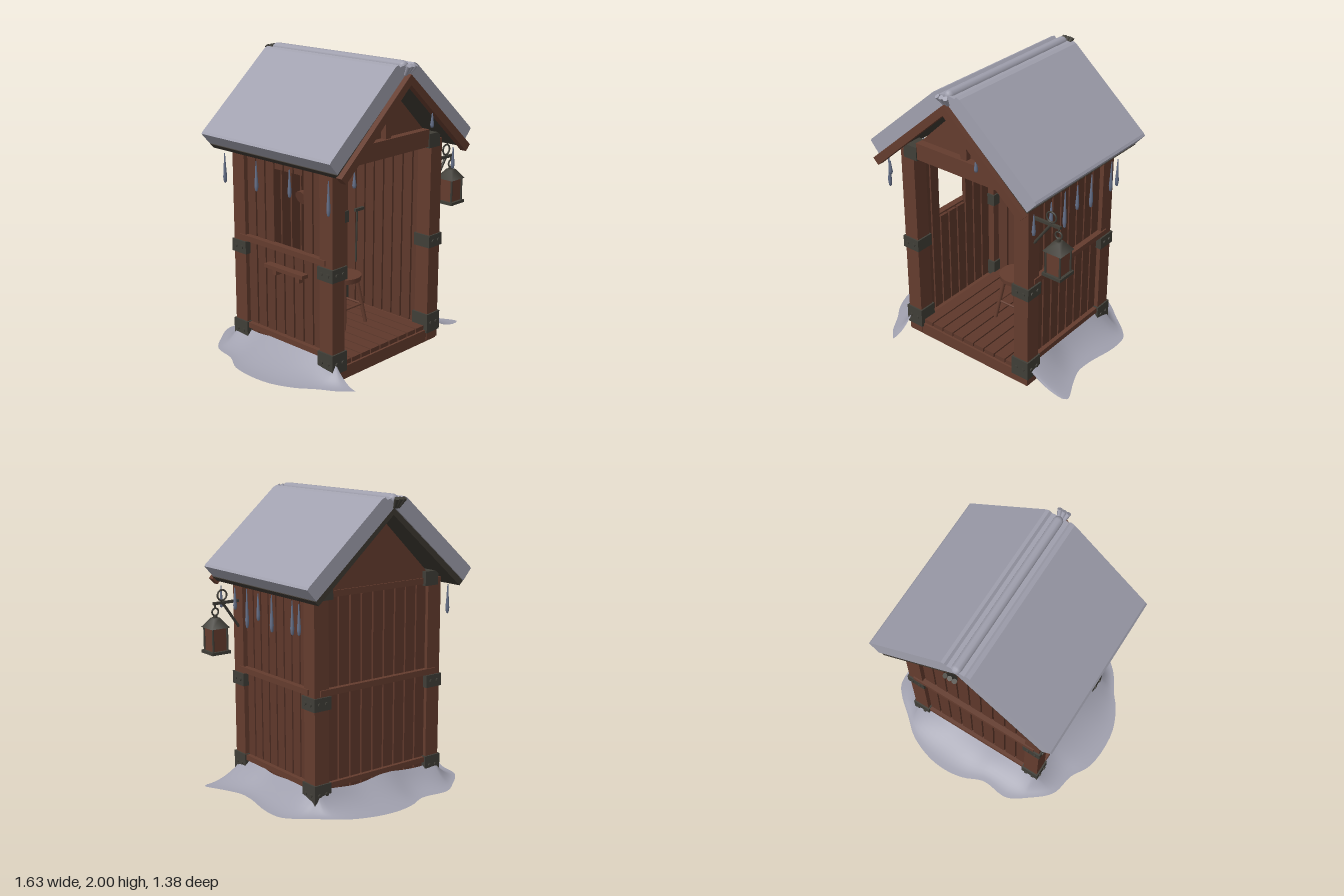
import * as THREE from 'three';

const mat = (name, color, side = THREE.FrontSide) => {
  const m = new THREE.MeshStandardMaterial({ color, side });
  m.name = name;
  return m;
};

export function createModel() {
  const root = new THREE.Group();
  root.name = 'sentryHut';
  const wood = mat('wood', 0x643c2e);
  const plankWood = mat('plankWood', 0x5e382b);
  const darkWood = mat('darkWood', 0x3e3932);
  const metal = mat('darkMetal', 0x403e37);
  const snow = mat('snow', 0xa0a0ae, THREE.DoubleSide);
  const ice = mat('ice', 0x66718a);

  const add = (name, geo, m, x = 0, y = 0, z = 0, parent = root) => {
    const mesh = new THREE.Mesh(geo, m);
    mesh.name = name;
    mesh.position.set(x, y, z);
    parent.add(mesh);
    return mesh;
  };
  // box given by its limits on each axis
  const box = (name, m, x0, x1, y0, y1, z0, z1, parent = root) =>
    add(name, new THREE.BoxGeometry(x1 - x0, y1 - y0, z1 - z0), m, (x0 + x1) / 2, (y0 + y1) / 2, (z0 + z1) / 2, parent);
  // round bar between two points
  const bar = (name, m, a, b, r0, r1 = r0, parent = root) => {
    const p = new THREE.Vector3(...a), q = new THREE.Vector3(...b), d = q.clone().sub(p);
    const mesh = add(name, new THREE.CylinderGeometry(r1, r0, d.length(), 10), m, 0, 0, 0, parent);
    mesh.position.copy(p).add(q).multiplyScalar(0.5);
    mesh.quaternion.setFromUnitVectors(new THREE.Vector3(0, 1, 0), d.normalize());
    return mesh;
  };
  // xy outline pushed along z
  const slab = (name, m, pts, z0, z1) =>
    add(name, new THREE.ExtrudeGeometry(new THREE.Shape(pts.map(p => new THREE.Vector2(...p))),
      { depth: z1 - z0, bevelEnabled: false }), m, 0, 0, z0);

  // floor
  box('floorBase', wood, -0.515, 0.515, 0, 0.085, -0.405, 0.485);
  for (let i = 0; i < 9; i++) {
    const x = -0.41 + i * 0.0915;
    box('floorPlank', plankWood, x, x + 0.082, 0.085, 0.115, -0.35, 0.47);
  }

  // corner posts with wrapped iron brackets
  for (const s of [-1, 1]) for (const [pz, f] of [[0.435, 1], [-0.355, -1]]) {
    const px = s * 0.465;
    box('post', wood, px - 0.055, px + 0.055, 0.01, 1.42, pz - 0.055, pz + 0.055);
    for (const [y0, y1] of [[0.065, 0.2], [0.68, 0.765]]) {
      const yc = (y0 + y1) / 2;
      box('postBracket', metal, px - 0.066, px + 0.066, y0, y1, pz - 0.066, pz + 0.066);
      for (const o of [-0.028, 0.028]) {
        bar('bolt', metal, [px + o, yc, pz + f * 0.06], [px + o, yc, pz + f * 0.074], 0.012);
        bar('bolt', metal, [px + s * 0.06, yc, pz + o], [px + s * 0.074, yc, pz + o], 0.012);
      }
    }
    box('topBracket', metal, s * 0.435 - 0.055, s * 0.435 + 0.055, 1.37, 1.465, pz - 0.062, pz + 0.062);
  }

  // back wall planks and rails
  for (let i = 0; i < 9; i++) {
    const x = -0.41 + i * 0.0915;
    box('backPlank', plankWood, x, x + 0.079, 0.09, 1.42, -0.385, -0.355);
  }
  box('backRail', wood, -0.48, 0.48, 0.77, 0.81, -0.42, -0.38);
  box('backSill', wood, -0.48, 0.48, 0.16, 0.195, -0.41, -0.375);

  // side wall planks, with a window opening on the right wall
  for (const s of [-1, 1]) {
    const x = s * 0.475;
    for (let i = 0; i < 8; i++) {
      const z = -0.3 + i * 0.086;
      const open = s < 0 && i >= 3 && i <= 5;
      box('sidePlank', plankWood, x - 0.015, x + 0.015, 0.09, open ? 0.8 : 1.42, z, z + 0.073);
      if (open) box('windowHeadPlank', plankWood, x - 0.015, x + 0.015, 1.3, 1.42, z, z + 0.073);
    }
    box('sideRail', wood, s * 0.505 - 0.024, s * 0.505 + 0.024, 0.775, 0.812, -0.35, 0.43);
    box('sideSill', wood, s * 0.5 - 0.02, s * 0.5 + 0.02, 0.16, 0.197, -0.35, 0.43);
  }
  // small ledge under the window
  box('windowLedge', wood, -0.545, -0.49, 0.645, 0.67, -0.1, 0.25);
  for (const z of [-0.03, 0.18]) box('ledgeSupport', wood, -0.535, -0.485, 0.61, 0.645, z, z + 0.035);

  // gables, tie beam and king post
  for (const z of [0.415, -0.385]) slab('gablePanel', wood, [[-0.48, 1.4], [0.48, 1.4], [0, 1.86]], z, z + 0.02);
  box('tieBeam', wood, -0.385, 0.385, 1.38, 1.495, 0.39, 0.49);
  box('kingPost', wood, -0.025, 0.025, 1.49, 1.87, 0.42, 0.475);
  box('backTieBeam', wood, -0.4, 0.4, 1.38, 1.42, -0.395, -0.34);

  // roof halves: deck, front barge board, thick snow
  for (const s of [-1, 1]) {
    const m = pts => pts.map(([x, y]) => [s * x, y]);
    slab('roofDeck', darkWood, m([[0, 1.868], [0.575, 1.37], [0.605, 1.4], [0, 1.915]]), -0.53, 0.61);
    slab('bargeBoard', wood, m([[0, 1.855], [0.57, 1.345], [0.61, 1.385], [0, 1.92]]), 0.605, 0.65);
    slab('roofSnow', snow, m([[0, 1.917], [0.6, 1.402], [0.665, 1.475], [0.655, 1.49], [0.1, 1.97], [0.075, 1.98], [0.06, 1.965], [0, 1.975]]), -0.54, 0.61);
  }
  // ridge snow with fanned ends
  const ridge = add('ridgeSnow', new THREE.CapsuleGeometry(0.034, 1.1, 4, 10), snow, 0, 1.964, 0.03);
  ridge.rotation.x = Math.PI / 2;
  for (const [z, f] of [[0.625, 1], [-0.565, -1]]) for (const t of [-0.35, 0, 0.35])
    bar('ridgeTip', f > 0 ? snow : metal, [t * 0.04, 1.915, z - f * 0.01], [t * 0.09, 1.975, z + f * 0.03], 0.01, 0.016);

  // wind-blown drift around the sides and back, resting on the walls
  const rim = new THREE.CatmullRomCurve3([
    [-0.51, 0.68], [-0.58, 0.61], [-0.66, 0.48], [-0.74, 0.37], [-0.81, 0.18], [-0.8, -0.1], [-0.72, -0.25],
    [-0.68, -0.42], [-0.54, -0.55], [-0.4, -0.635], [-0.2, -0.62], [-0.05, -0.68], [0.1, -0.7], [0.25, -0.68],
    [0.42, -0.61], [0.55, -0.5], [0.67, -0.4], [0.73, -0.32], [0.74, -0.18], [0.7, 0.05], [0.7, 0.17],
    [0.75, 0.3], [0.81, 0.44], [0.78, 0.46]].map(([x, z]) => new THREE.Vector3(x, 0, z)));
  const N = 96, R = 8, pos = [], idx = [];
  for (let i = 0; i <= N; i++) {
    const p = rim.getPoint(i / N);
    const ix = THREE.MathUtils.clamp(p.x, -0.495, 0.495), iz = THREE.MathUtils.clamp(p.z, -0.4, 0.49);
    const h = 0.145 + 0.012 * Math.sin(i * 0.45);
    for (let j = 0; j <= R; j++) {
      const t = j / R;
      pos.push(ix + (p.x - ix) * t, 0.018 + (h - 0.018) * (1 - t) ** 2, iz + (p.z - iz) * t);
      if (i < N && j < R) {
        const a = i * (R + 1) + j, c = a + R + 1;
        idx.push(a, c, a + 1, a + 1, c, c + 1);
      }
    }
  }
  const driftGeo = new THREE.BufferGeometry();
  driftGeo.setAttribute('position', new THREE.Float32BufferAttribute(pos, 3));
  driftGeo.setIndex(idx);
  driftGeo.computeVertexNormals();
  add('snowDrift', driftGeo, snow);

  // icicles: x, top y, z, length
  const iceGeo = new THREE.LatheGeometry([[0, 0], [0.009, 0.04], [0.013, 0.2], [0.008, 0.55], [0.003, 1]]
    .map(p => new THREE.Vector2(...p)), 8);
  for (const [x, y, z, l] of [
    [0.59, 1.35, 0.53, 0.15], [0.59, 1.36, 0.36, 0.15], [0.59, 1.37, 0.22, 0.26], [0.59, 1.36, 0.09, 0.18],
    [0.59, 1.37, -0.06, 0.24], [0.59, 1.37, -0.28, 0.22], [0.59, 1.36, -0.35, 0.2],
    [-0.595, 1.35, 0.53, 0.22], [-0.595, 1.36, 0.2, 0.18], [-0.595, 1.36, -0.1, 0.2], [-0.595, 1.36, -0.4, 0.2],
    [-0.48, 1.4, 0.63, 0.1], [0.235, 1.65, 0.63, 0.1]])
    add('icicle', iceGeo, ice, x, y - l, z).scale.y = l;

  // stool
  const stool = new THREE.Group();
  stool.name = 'stool';
  stool.position.set(0.07, 0, 0.03);
  root.add(stool);
  add('stoolSeat', new THREE.CylinderGeometry(0.122, 0.118, 0.035, 24), wood, 0, 0.447, 0, stool);
  const foot = (k, y) => {
    const a = Math.PI / 4 + k * Math.PI / 2, r = 0.15 - (y - 0.115) * 0.2;
    return [Math.cos(a) * r, y, Math.sin(a) * r];
  };
  for (let k = 0; k < 4; k++) {
    bar('stoolLeg', wood, foot(k, 0.115), foot(k, 0.435), 0.013, 0.016, stool);
    bar('stoolRung', wood, foot(k, 0.25), foot(k + 1, 0.25), 0.008, 0.008, stool);
  }

  // horn hanging from a peg on the back wall
  bar('peg', metal, [0.14, 1.18, -0.36], [0.14, 1.18, -0.25], 0.016);
  bar('hornBody', wood, [0.01, 0.98, -0.28], [0.27, 1.055, -0.28], 0.026, 0.015);
  bar('hornBell', wood, [-0.03, 0.965, -0.28], [0.045, 0.99, -0.28], 0.052, 0.026);
  for (const [x, y] of [[0.06, 1.0], [0.25, 1.05]]) bar('hornCord', metal, [x, y, -0.27], [0.14, 1.19, -0.27], 0.005);

  // strap hanging on the left wall
  bar('strap', metal, [0.385, 0.43, -0.15], [0.395, 0.81, -0.15], 0.007);
  box('strapHook', metal, 0.375, 0.46, 0.805, 0.825, -0.16, -0.14);

  // lantern on an iron arm
  const lantern = new THREE.Group();
  lantern.name = 'lantern';
  root.add(lantern);
  const lx = 0.7, lz = 0.43;
  box('lanternArm', metal, 0.51, 0.715, 1.246, 1.264, lz - 0.009, lz + 0.009, lantern);
  bar('armBrace', metal, [0.52, 1.08, lz], [0.64, 1.25, lz], 0.009, 0.009, lantern);
  add('armScroll', new THREE.TorusGeometry(0.035, 0.006, 8, 24), metal, 0.645, 1.305, lz, lantern);
  add('hangingRing', new THREE.TorusGeometry(0.024, 0.006, 8, 20), metal, lx, 1.2, lz, lantern);
  bar('hook', metal, [lx, 1.22, lz], [lx, 1.255, lz], 0.006, 0.006, lantern);
  box('lanternBody', wood, lx - 0.052, lx + 0.052, 0.94, 1.105, lz - 0.052, lz + 0.052, lantern);
  box('lanternBase', metal, lx - 0.07, lx + 0.07, 0.925, 0.945, lz - 0.07, lz + 0.07, lantern);
  for (const a of [-1, 1]) for (const b of [-1, 1])
    bar('lanternCorner', metal, [lx + a * 0.054, 0.94, lz + b * 0.054], [lx + a * 0.054, 1.1, lz + b * 0.054], 0.007, 0.007, lantern);
  const cap = add('lanternCap', new THREE.CylinderGeometry(0.03, 0.097, 0.065, 4), metal, lx, 1.13, lz, lantern);
  cap.rotation.y = Math.PI / 4;
  bar('lanternFinial', metal, [lx, 1.155, lz], [lx, 1.18, lz], 0.014, 0.014, lantern);

  return root;
}
